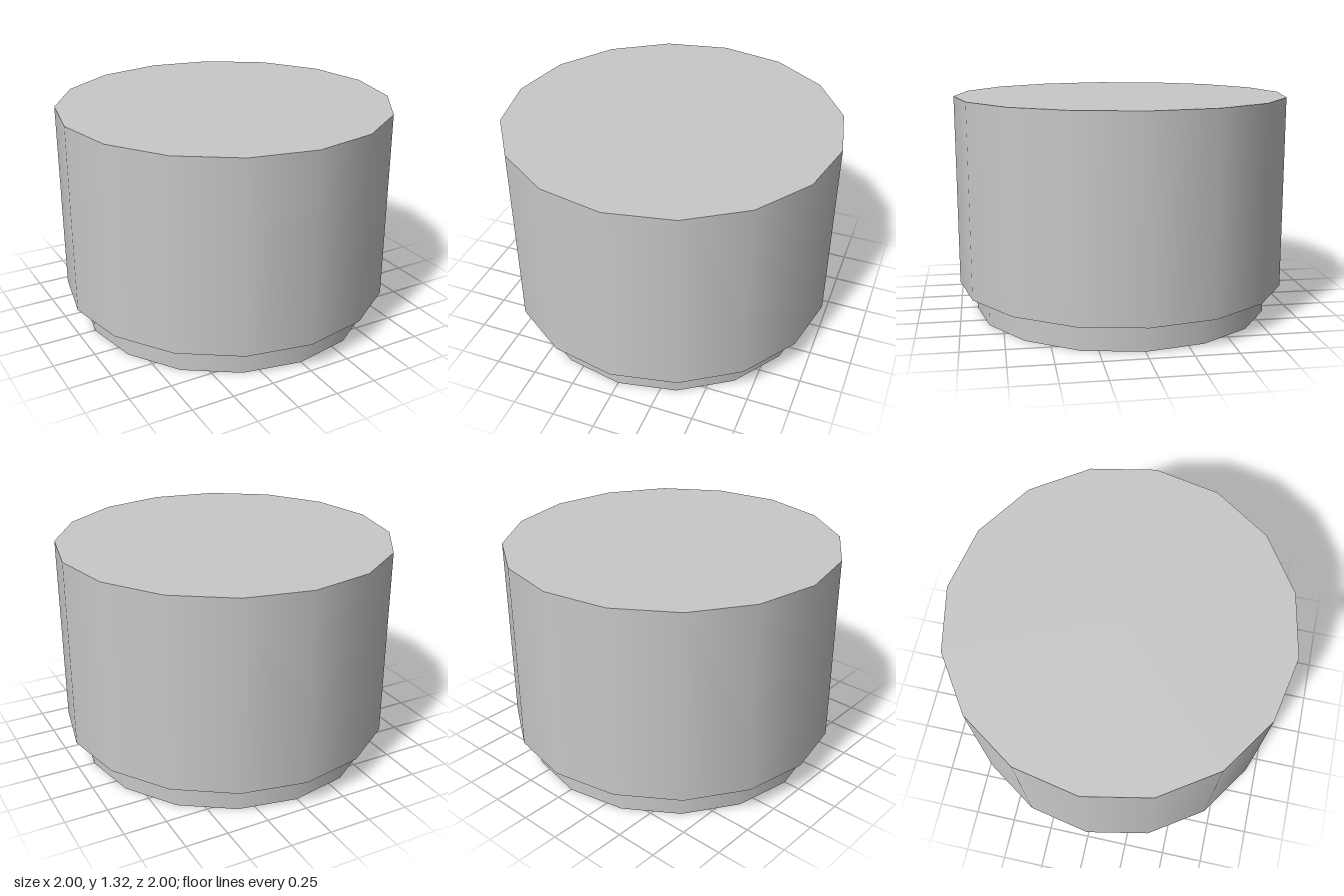
import * as THREE from 'three';
import { mergeGeometries } from 'three/addons/utils/BufferGeometryUtils.js';

const SIDES = 16;

// Revolve each profile segment on its own: smooth around, sharp at profile corners
function revolve(name, profile, material) {
  const bands = [];
  for (let i = 0; i < profile.length - 1; i++) {
    const pts = [profile[i], profile[i + 1]].map(([r, y]) => new THREE.Vector2(r, y));
    bands.push(new THREE.LatheGeometry(pts, SIDES));
  }
  const mesh = new THREE.Mesh(mergeGeometries(bands), material);
  mesh.name = name;
  return mesh;
}

export function createModel() {
  const group = new THREE.Group();
  group.name = 'knob';

  const grey = new THREE.MeshStandardMaterial({ color: 0xc8c8c8 });
  grey.name = 'light grey';

  const top = 1.315, shoulder = 0.17, holeTop = 0.66;
  const bodyR = 1, neckR = 0.9, holeR = 0.6;

  // Wide body with its underside shoulder and flat top
  group.add(revolve('body', [[neckR, shoulder], [bodyR, shoulder], [bodyR, top], [0, top]], grey));
  // Narrow neck with its bottom rim
  group.add(revolve('neck', [[holeR, 0], [neckR, 0], [neckR, shoulder]], grey));
  // Blind hole: ceiling and inner wall
  group.add(revolve('socket', [[0, holeTop], [holeR, holeTop], [holeR, 0]], grey));

  return group;
}
